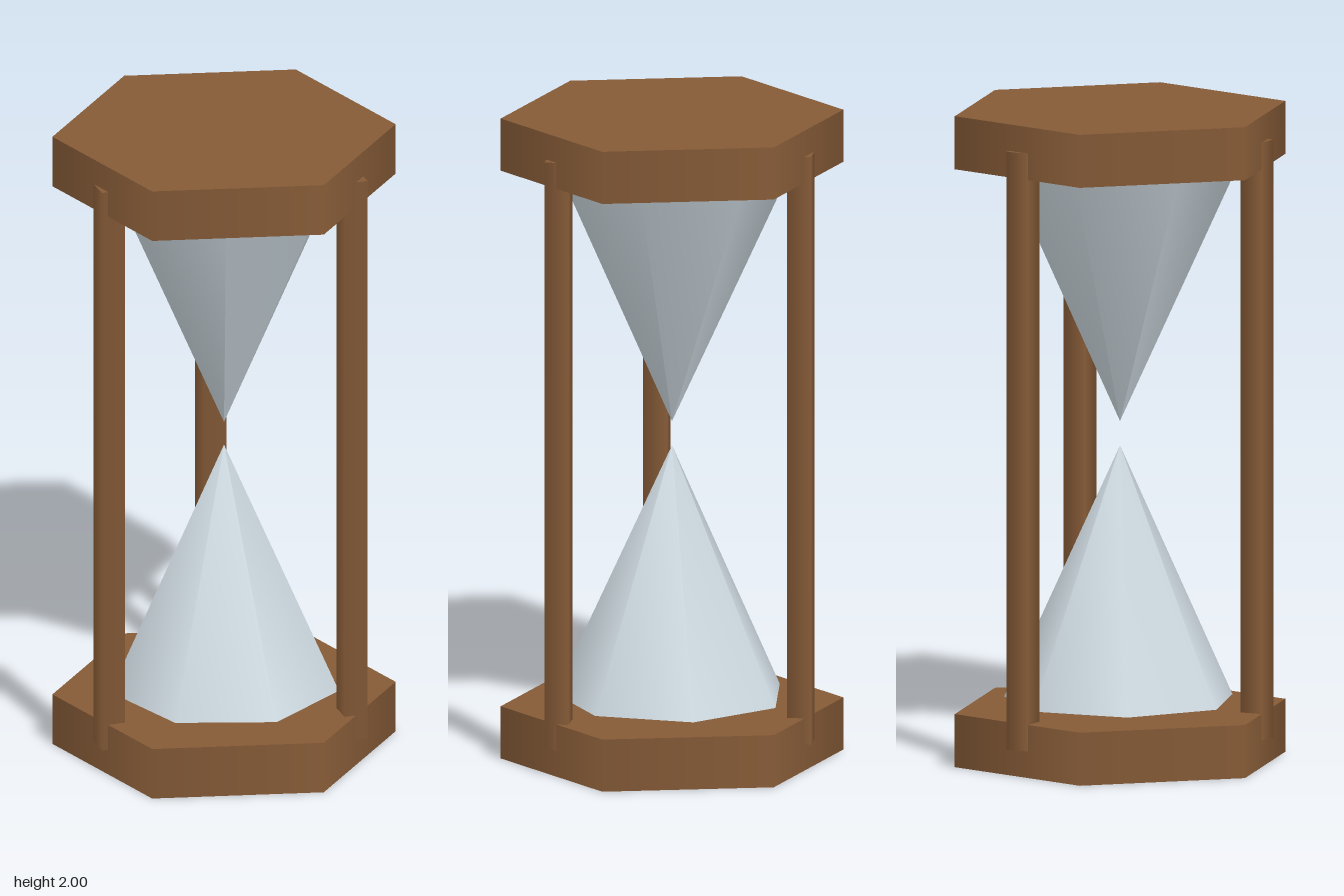
import * as THREE from 'three';

const wood = new THREE.MeshStandardMaterial({ color: 0x865b37 });
wood.name = 'wood';
const glass = new THREE.MeshStandardMaterial({ color: 0xcedae1 });
glass.name = 'paleGlass';

export function createModel() {
  const model = new THREE.Group();
  model.name = 'hourglass';

  const add = (name, geometry, material, x, y, z) => {
    const mesh = new THREE.Mesh(geometry, material);
    mesh.name = name;
    mesh.position.set(x, y, z);
    model.add(mesh);
    return mesh;
  };
  const axisX = -0.013;

  // Hexagonal end plates
  const plate = new THREE.CylinderGeometry(0.523, 0.523, 0.163, 6);
  add('bottomPlate', plate, wood, axisX, 0.0815, 0);
  add('topPlate', plate, wood, axisX, 1.9185, 0);

  // Two seven-sided bulbs, tips facing each other
  const bulb = new THREE.ConeGeometry(0.356, 0.78, 7);
  add('lowerBulb', bulb, glass, axisX, 0.575, 0);
  add('upperBulb', bulb, glass, axisX, 1.43, 0).rotation.x = Math.PI;

  // Three four-sided posts set into the rims of the plates
  const post = new THREE.CylinderGeometry(0.052, 0.052, 1.837, 4);
  for (let i = 0; i < 3; i++) {
    const a = (i * Math.PI * 2) / 3;
    add('post' + (i + 1), post, wood, axisX + 0.427 * Math.cos(a), 1, 0.427 * Math.sin(a));
  }
  return model;
}
